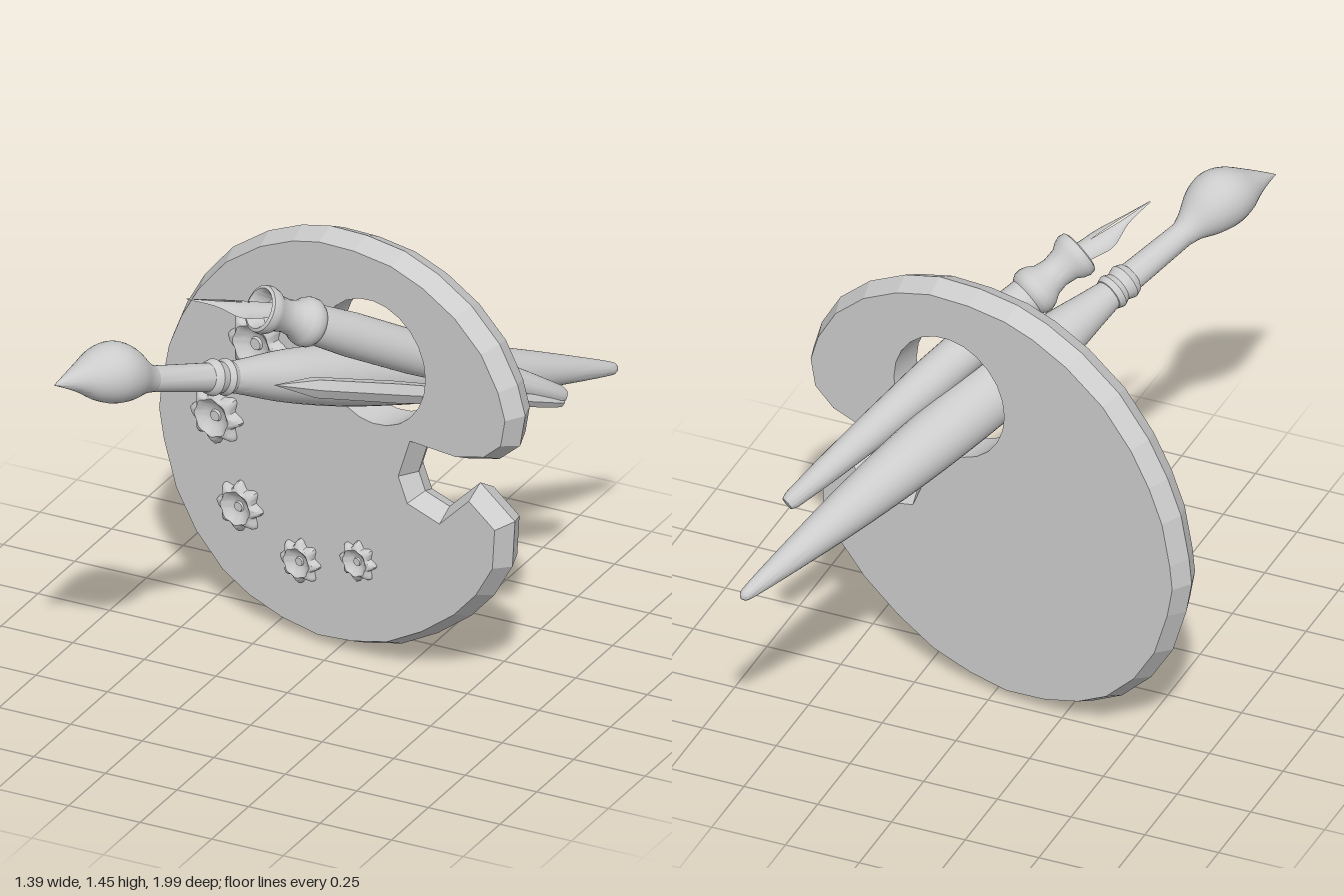
import * as THREE from 'three';
import { toCreasedNormals } from 'three/addons/utils/BufferGeometryUtils.js';
import { ParametricGeometry } from 'three/addons/geometries/ParametricGeometry.js';

const grey = new THREE.MeshStandardMaterial({ color: 0xcccccc });
const greyFlat = new THREE.MeshStandardMaterial({ color: 0xcccccc, flatShading: true });
const greyDouble = new THREE.MeshStandardMaterial({ color: 0xcccccc, side: THREE.DoubleSide });
const V3 = (x, y, z) => new THREE.Vector3(x, y, z);

function add(parent, name, geometry, material = grey) {
  const mesh = new THREE.Mesh(geometry, material);
  mesh.name = name;
  parent.add(mesh);
  return mesh;
}

// Palette outline at its widest, including the thumb notch
const OUTLINE = [
  [.66, .62], [.65, .46], [.58, .34], [.49, .24], [.36, .14], [.22, .06], [.08, .02], [-.06, 0],
  [-.21, .02], [-.34, .06], [-.45, .12], [-.56, .23], [-.64, .36], [-.69, .52], [-.71, .63], [-.70, .72],
  [-.67, .87], [-.62, .99], [-.55, 1.11], [-.44, 1.24], [-.30, 1.34], [-.17, 1.40], [-.06, 1.43], [.08, 1.44],
  [.23, 1.43], [.36, 1.39], [.49, 1.32], [.60, 1.22], [.67, 1.10], [.70, 1.0], [.68, .89], [.60, .82],
  [.48, .785], [.32, .785], [.285, .68], [.31, .62], [.405, .595], [.525, .715],
].reverse().map(([x, y]) => new THREE.Vector2(x, y));

// Move a counter-clockwise loop inwards by d
function inset(loop, d) {
  const n = loop.length;
  return loop.map((p, i) => {
    const a = p.clone().sub(loop[(i + n - 1) % n]).normalize();
    const b = loop[(i + 1) % n].clone().sub(p).normalize();
    const m = new THREE.Vector2(-a.y - b.y, a.x + b.x);
    return p.clone().addScaledVector(m, d / (1 + a.dot(b)));
  });
}

// Wall through loops, ordered front to back: [loop, z]
function wall(rings) {
  const n = rings[0][0].length, pos = [], idx = [];
  rings.forEach(([loop, z]) => loop.forEach(p => pos.push(p.x, p.y, z)));
  for (let r = 0; r < rings.length - 1; r++) {
    for (let i = 0; i < n; i++) {
      const a = r * n + i, b = r * n + (i + 1) % n;
      idx.push(a, a + n, b, b, a + n, b + n);
    }
  }
  const g = new THREE.BufferGeometry();
  g.setAttribute('position', new THREE.Float32BufferAttribute(pos, 3));
  g.setIndex(idx);
  g.computeVertexNormals();
  return g;
}

// Star-edged dab of paint with a dimple, facing +z
function dab(R) {
  const profile = [[1, 0], [.97, .16], [.8, .32], [.66, .36], [.55, .3], [.38, .14], [.2, .1], [.17, .18], [0, .18]];
  const g = new THREE.LatheGeometry(profile.map(([r, h]) => new THREE.Vector2(r * R, h * R)), 64);
  const p = g.attributes.position;
  for (let i = 0; i < p.count; i++) {
    const x = p.getX(i), z = p.getZ(i), r = Math.hypot(x, z) / R;
    const w = THREE.MathUtils.smoothstep(r, .5, .95);
    const k = 1 - w * .13 * (1 - Math.cos(8 * Math.atan2(z, x)));
    p.setX(i, x * k);
    p.setZ(i, z * k);
  }
  g.rotateX(Math.PI / 2);
  return toCreasedNormals(g, .6);
}

// Turned part: profile of [distance along axis, radius] from point a towards b
function spin(profile, a, b, { smooth = 0, sides = 32, bend } = {}) {
  let pts = profile.map(([s, r]) => new THREE.Vector2(r, s));
  if (smooth) pts = new THREE.SplineCurve(pts).getPoints(smooth);
  pts.forEach(p => { p.x = Math.max(p.x, 0); });
  const g = new THREE.LatheGeometry(pts, sides);
  const p = g.attributes.position, v = V3();
  const q = new THREE.Quaternion().setFromUnitVectors(V3(0, 1, 0), b.clone().sub(a).normalize());
  for (let i = 0; i < p.count; i++) {
    v.fromBufferAttribute(p, i);
    const s = v.y;
    v.applyQuaternion(q).add(a);
    if (bend) v.add(bend(s));
    p.setXYZ(i, v.x, v.y, v.z);
  }
  return toCreasedNormals(g, sides < 10 ? .2 : .6);
}

function makePalette() {
  const g = new THREE.Group();
  g.name = 'palette';
  const T = .064, front = inset(OUTLINE, .03);
  const hole = [];
  for (let i = 0; i < 24; i++) {
    const t = -i / 24 * Math.PI * 2;
    hole.push(new THREE.Vector2(.153 + .206 * Math.cos(t), 1.046 + .213 * Math.sin(t)));
  }
  const shape = new THREE.Shape(front);
  shape.holes.push(new THREE.Path(hole));
  add(g, 'paletteFront', new THREE.ShapeGeometry(shape).translate(0, 0, T));
  const back = new THREE.ShapeGeometry(shape).translate(0, 0, -T);
  back.index.array.reverse();
  back.computeVertexNormals();
  add(g, 'paletteBack', back);
  add(g, 'paletteRim', wall([[front, T], [OUTLINE, 0], [front, -T]]), greyFlat);
  add(g, 'paletteHoleWall', toCreasedNormals(wall([[hole, T], [hole, -T]]), .6));
  // Paint dabs, shrinking around the edge
  [[-.29, .98, .112], [-.45, .68, .1], [-.36, .39, .088], [-.125, .27, .077], [.1, .338, .07]].forEach(([x, y, r]) => {
    add(g, 'paintDab', dab(r)).position.set(x, y, T);
  });
  g.position.z = -.147;
  g.rotation.y = -10 * Math.PI / 180;
  return g;
}

function makeBrush() {
  const g = new THREE.Group();
  g.name = 'brush';
  const a = V3(-.25, 1.235, .69), b = V3(.515, .69, -.99);
  add(g, 'bristles', spin(
    [[-.36, 0], [-.32, .022], [-.27, .05], [-.21, .085], [-.15, .098], [-.09, .085], [-.03, .053], [.01, .04]],
    a, b, { smooth: 32, bend: s => {
      const u = Math.max(0, -s / .36);
      return V3(-.035 * u * u, .03 * Math.sin(Math.PI * Math.min(u, 1)) - .025 * u * u, 0);
    } }));
  add(g, 'ferrule', spin(
    [[0, 0], [0, .041], [.23, .046], [.235, .052], [.255, .059], [.275, .052], [.285, .05], [.305, .059], [.325, .052], [.33, .04]], a, b));
  add(g, 'brushHandle', spin(
    [[.32, .048], [.4, .06], [.55, .083], [.75, .098], [.95, .1], [1.2, .092], [1.45, .074], [1.7, .047], [1.88, .024], [1.915, .014], [1.924, 0]],
    a, b, { smooth: 44 }));
  return g;
}

function makePen() {
  const g = new THREE.Group();
  g.name = 'dipPen';
  const a = V3(-.06, 1.345, .3), b = V3(.54, .785, -.58);
  // Open collar, waist and second ring
  add(g, 'penGrip', spin(
    [[.06, 0], [.04, .045], [0, .055], [-.015, .065], [-.01, .075], [.01, .078], [.03, .071], [.05, .058], [.09, .052],
      [.125, .058], [.15, .074], [.17, .08], [.19, .078], [.205, .068], [.21, .06]], a, b));
  add(g, 'penBarrel', spin(
    [[.2, .064], [.35, .071], [.6, .069], [.85, .056], [1.05, .042], [1.18, .03], [1.2, .022], [1.204, 0]], a, b));
  // Curved nib in two halves with a slit between
  const nib = new THREE.Group();
  nib.name = 'nib';
  const d = b.clone().sub(a).normalize();
  const up = V3(0, 1, 0).addScaledVector(d, -d.y).normalize();
  nib.matrix.makeBasis(up.clone().cross(d), up, d).setPosition(a);
  nib.matrix.decompose(nib.position, nib.quaternion, nib.scale);
  const width = new THREE.SplineCurve([[0, .003], [.3, .018], [.55, .05], [.75, .05], [1, .04]].map(p => new THREE.Vector2(...p)));
  for (const side of [-1, 1]) {
    add(nib, 'nibHalf', new ParametricGeometry((u, v, out) => {
      const p = width.getPoint(u), phi = v * 1.25;
      const gap = .004 * Math.max(0, 1 - Math.abs(p.x - .35) / .35);
      out.set(side * (gap + p.y * Math.sin(phi)), -.035 + .065 * p.x - p.y * (1 - Math.cos(phi)), -.285 + .33 * p.x);
    }, 20, 8), greyDouble);
  }
  g.add(nib);
  return g;
}

export function createModel() {
  const model = new THREE.Group();
  model.name = 'artistSet';
  model.add(makePalette(), makeBrush(), makePen());
  // Slim six-sided pencil
  add(model, 'pencil', spin([[0, 0], [.17, .034], [.5, .036], [1.15, .022], [1.19, .018], [1.19, 0]],
    V3(.055, 1.175, .45), V3(.54, .775, -.56), { sides: 6 }));
  return model;
}
